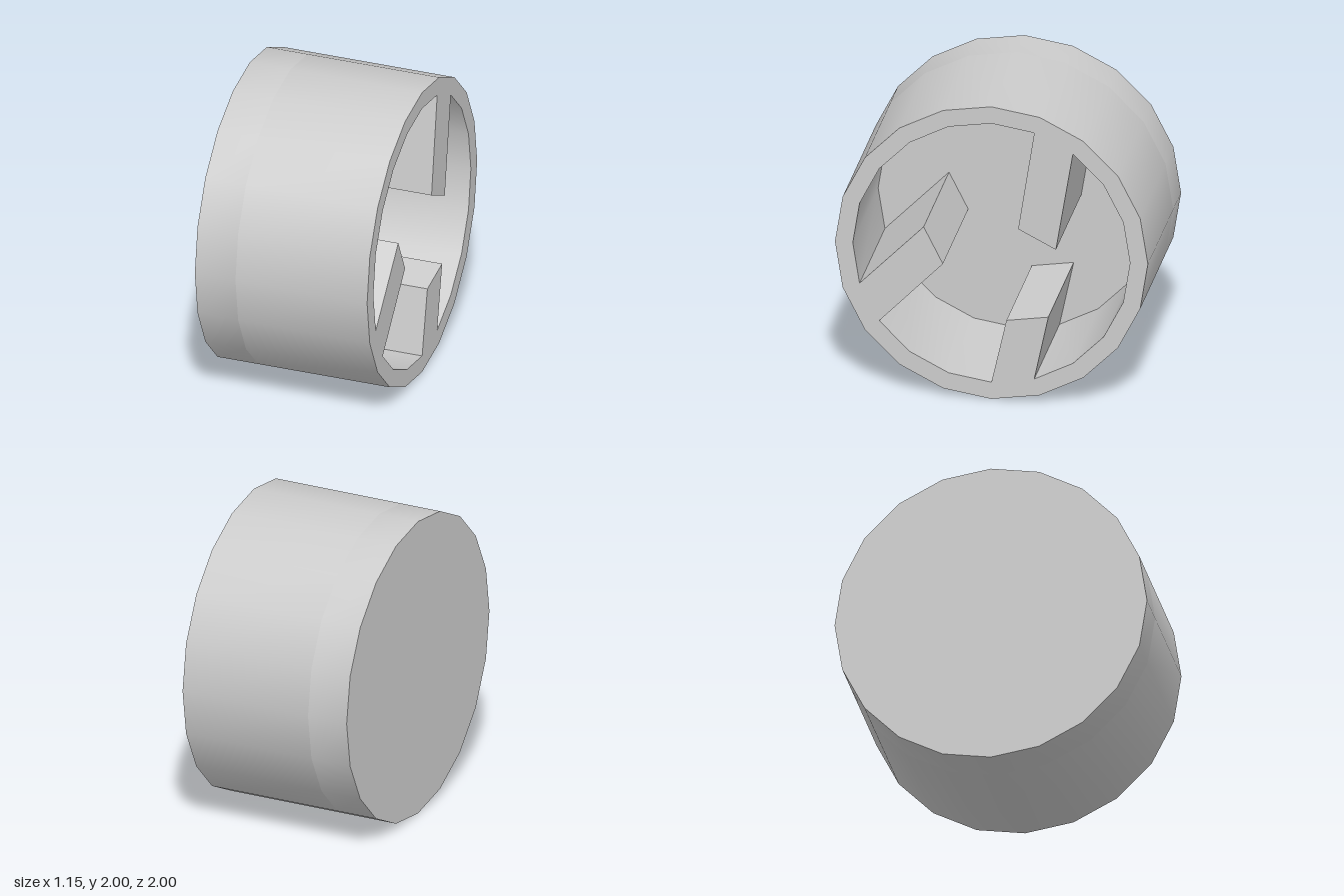
import * as THREE from 'three';
import { toCreasedNormals } from 'three/addons/utils/BufferGeometryUtils.js';

const SIDES = 20, OUTER = 1, INNER = 0.886;
const WIDTH = 1.154, FLOOR = 0.272; // full length along x, thickness of the closed end

// Profile plane: first coordinate is -z, second is height above the axis.
const ringPoint = (i, r) => {
  const a = (i / SIDES) * Math.PI * 2;
  return new THREE.Vector2(r * Math.cos(a), r * Math.sin(a));
};

// Each rib replaces the wall segment that starts at ring vertex "at" with two tip corners.
const ribs = [
  { at: 3, tips: [[0.412, 0.053], [0.171, 0.176]] },
  { at: 10, tips: null },
  { at: 11, tips: [[-0.433, 0.144], [-0.31, -0.1]] },
  { at: 15, tips: [[0.096, -0.455], [0.364, -0.412]] },
].filter((r) => r.tips);

function outerOutline() {
  return Array.from({ length: SIDES }, (_, i) => ringPoint(i, OUTER));
}

function cavityOutline() {
  const pts = [];
  for (let i = 0; i < SIDES; i++) {
    pts.push(ringPoint(i, INNER));
    const rib = ribs.find((r) => r.at === i);
    if (rib) rib.tips.forEach(([u, v]) => pts.push(new THREE.Vector2(u, v)));
  }
  return pts;
}

// Extrude along the axis, turn the axis onto x, smooth the round walls only.
function extrudeAlongX(shape, x0, x1) {
  const g = new THREE.ExtrudeGeometry(shape, { depth: x1 - x0, bevelEnabled: false, steps: 1 });
  g.translate(0, 0, x0);
  g.rotateY(Math.PI / 2);
  g.translate(0, OUTER, 0);
  return toCreasedNormals(g, Math.PI / 7);
}

export function createModel() {
  const group = new THREE.Group();
  group.name = 'ribbedCup';
  const material = new THREE.MeshStandardMaterial({ color: 0xcccccc });
  const add = (name, shape, x0, x1) => {
    const mesh = new THREE.Mesh(extrudeAlongX(shape, x0, x1), material);
    mesh.name = name;
    group.add(mesh);
  };

  // Closed end
  add('endPlate', new THREE.Shape(outerOutline()), -WIDTH / 2, -WIDTH / 2 + FLOOR);

  // Open wall with the three inward ribs
  const wall = new THREE.Shape(outerOutline());
  wall.holes.push(new THREE.Path(cavityOutline()));
  add('ribbedWall', wall, -WIDTH / 2 + FLOOR, WIDTH / 2);

  return group;
}
